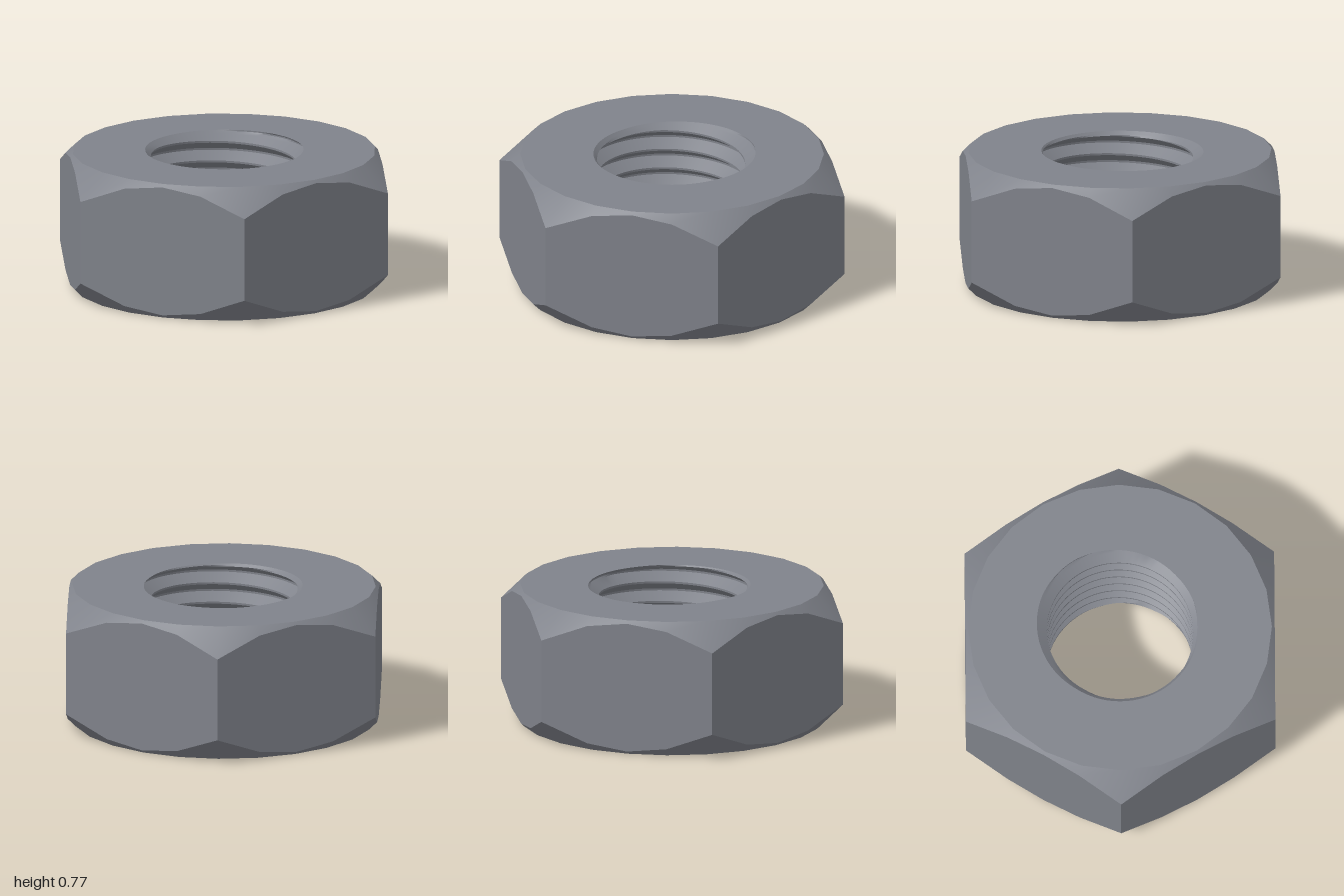
import * as THREE from 'three';
import { toCreasedNormals } from 'three/addons/utils/BufferGeometryUtils.js';

const H = 0.77;            // nut height
const FLAT = 0.866;        // centre to flat
const RIM = 0.85;          // radius of the flat end faces
const SIDES = 24;          // steps around the outside
const STEPS = 72;          // steps around the bore
const PITCH = 0.113, MAJOR = 0.475, MINOR = 0.41, START = 1.9;
const ROOT = 0.05, CREST = 0.45;       // half widths of the thread, in pitches
const SINK = 0.44, LIP = SINK - MINOR; // small countersink at both mouths

// Radius at angle a of a polygon with n sides and a corner on the x axis
function polygonRadius(a, n, apothem) {
  const s = (2 * Math.PI) / n;
  return apothem / Math.cos((((a % s) + s) % s) - s / 2);
}
const hexRadius = (a) => polygonRadius(a, 6, FLAT);
const rimRadius = (a) => polygonRadius(a, SIDES, RIM * Math.cos(Math.PI / SIDES));

// Radius of the right-handed thread at height y and angle a
function threadRadius(y, a) {
  const t = (y - H) / PITCH - (a - START) / (2 * Math.PI);
  const d = Math.abs(t - Math.round(t));
  const flank = THREE.MathUtils.clamp((d - ROOT) / (CREST - ROOT), 0, 1);
  return MAJOR - (MAJOR - MINOR) * flank;
}
const boreRadius = (y, a) =>
  Math.max(threadRadius(y, a), SINK - Math.min(y, H - y));

// Skin a list of rows; each row maps an angle to [radius, height]
function skin(rows, steps) {
  const pos = [];
  const point = (row, j) => {
    const a = (j / steps) * Math.PI * 2;
    const [r, y] = row(a);
    return new THREE.Vector3(r * Math.cos(a), y, -r * Math.sin(a));
  };
  const tri = (a, b, c) => {
    const area = b.clone().sub(a).cross(c.clone().sub(a)).length();
    if (area > 1e-9) for (const p of [a, b, c]) pos.push(p.x, p.y, p.z);
  };
  for (let i = 0; i < rows.length - 1; i++) {
    for (let j = 0; j < steps; j++) {
      const a = point(rows[i], j), b = point(rows[i], j + 1);
      const c = point(rows[i + 1], j + 1), d = point(rows[i + 1], j);
      tri(a, b, c);
      tri(a, c, d);
    }
  }
  const g = new THREE.BufferGeometry();
  g.setAttribute('position', new THREE.Float32BufferAttribute(pos, 3));
  return toCreasedNormals(g, 0.5);
}

export function createModel() {
  const group = new THREE.Group();
  group.name = 'hexNut';
  const material = new THREE.MeshStandardMaterial({ color: 0x80838b });
  const add = (name, geometry) => {
    const mesh = new THREE.Mesh(geometry, material);
    mesh.name = name;
    group.add(mesh);
  };

  // Hexagonal sides with conical chamfers
  add('hexBody', skin([
    () => [RIM, 0],
    (a) => [hexRadius(a), hexRadius(a) - RIM],
    (a) => [hexRadius(a), H - hexRadius(a) + RIM],
    () => [RIM, H],
  ], SIDES));

  // Flat ring faces
  add('topFace', skin([(a) => [rimRadius(a), H], (a) => [boreRadius(H, a), H]], STEPS));
  add('bottomFace', skin([(a) => [boreRadius(0, a), 0], (a) => [rimRadius(a), 0]], STEPS));

  // Threaded bore, from the top down: upper mouth, helical rows, lower mouth
  const rows = [];
  const mouth = (from, to) => {
    for (let i = 0; i <= 4; i++) {
      const y = from + ((to - from) * i) / 4;
      rows.push((a) => [boreRadius(y, a), y]);
    }
  };
  mouth(H, H - LIP);
  for (let k = 1; k >= -9; k--) {
    for (const f of [CREST, ROOT, -ROOT, -CREST]) {
      rows.push((a) => {
        const helix = H + PITCH * (k + f + (a - START) / (2 * Math.PI));
        const y = THREE.MathUtils.clamp(helix, LIP, H - LIP);
        return [boreRadius(y, a), y];
      });
    }
  }
  mouth(LIP, 0);
  add('threadedBore', skin(rows, STEPS));

  return group;
}
